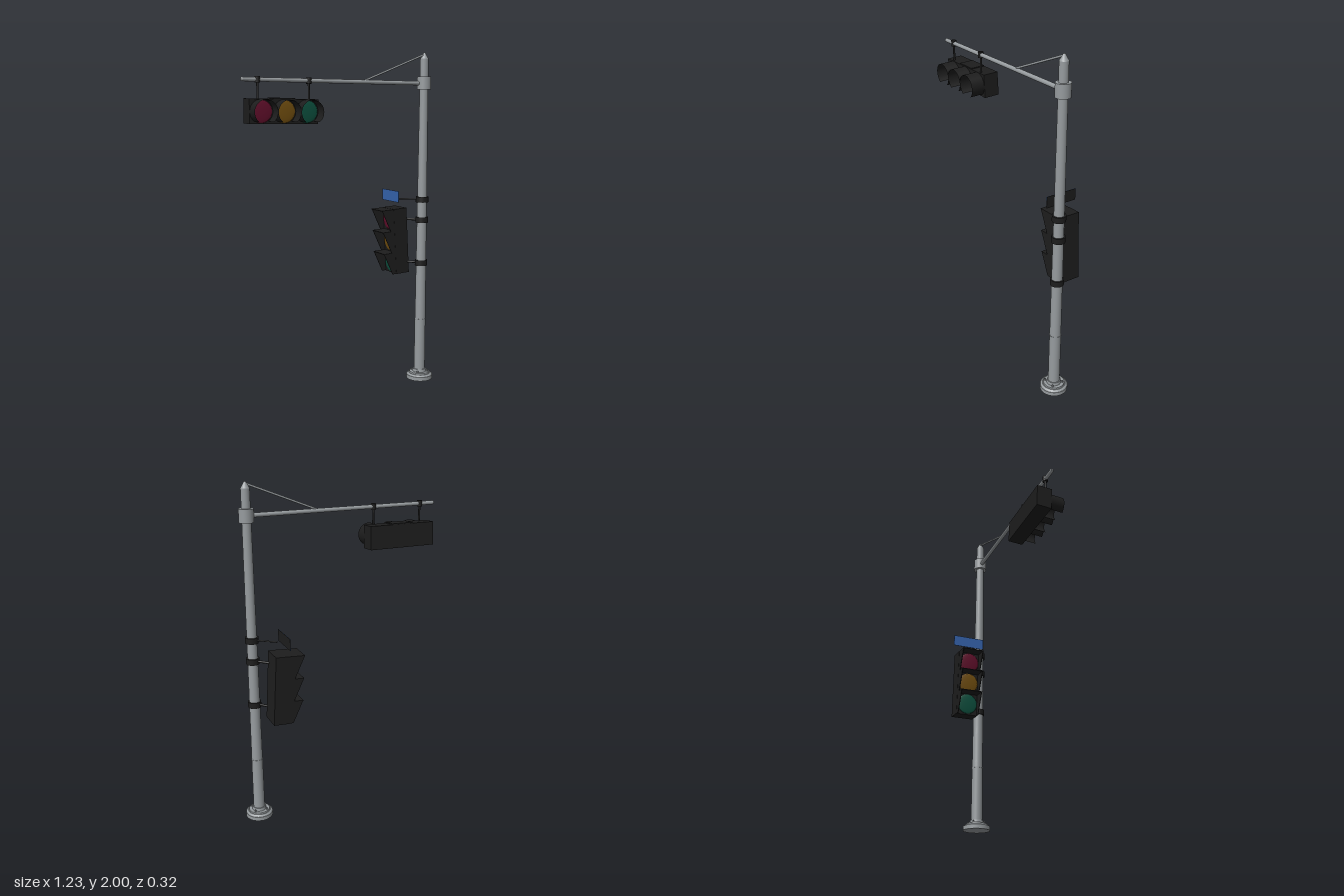
import * as THREE from 'three';
import { mergeGeometries } from 'three/addons/utils/BufferGeometryUtils.js';

const paint = (name, color, side = THREE.FrontSide) => {
  const m = new THREE.MeshStandardMaterial({ color, side });
  m.name = name;
  return m;
};

export function createModel() {
  const steel = paint('galvanised steel', 0x969b9e);
  const black = paint('black housing', 0x1d1d1d, THREE.DoubleSide);
  const blue = paint('sign blue', 0x3463ad);
  const lensPaints = [paint('red lens', 0x640f2c), paint('amber lens', 0x74500f), paint('green lens', 0x0d5240)];

  const model = new THREE.Group();
  model.name = 'trafficSignalPole';
  const PX = 0.531, PZ = 0.065, ARM_Y = 1.822;

  const add = (parent, name, geo, mat, x = 0, y = 0, z = 0) => {
    const mesh = new THREE.Mesh(geo, mat);
    mesh.name = name;
    mesh.position.set(x, y, z);
    parent.add(mesh);
    return mesh;
  };

  // Round bar between two points
  const rod = (name, a, b, ra, rb, mat) => {
    const p = new THREE.Vector3(...a), q = new THREE.Vector3(...b);
    const d = q.clone().sub(p);
    const mesh = add(model, name, new THREE.CylinderGeometry(rb, ra, d.length(), 16), mat);
    mesh.position.copy(p).add(q).multiplyScalar(0.5);
    mesh.quaternion.setFromUnitVectors(new THREE.Vector3(0, 1, 0), d.normalize());
  };

  // Stacked cylinders around the pole axis: name, y0, y1, lower radius, upper radius
  const stack = [
    ['baseFlange', 0, 0.024, 0.081, 0.081],
    ['baseChamfer', 0.024, 0.034, 0.079, 0.067],
    ['basePlate', 0.034, 0.042, 0.063, 0.061],
    ['baseSleeve', 0.042, 0.06, 0.042, 0.039],
    ['lowerPole', 0.06, 0.38, 0.034, 0.033],
    ['poleJoint', 0.377, 0.383, 0.0345, 0.0345],
    ['upperPole', 0.38, 1.965, 0.0325, 0.0245],
    ['armCollar', 1.786, 1.86, 0.041, 0.041],
    ['poleCap', 1.965, 2.0, 0.0245, 0.005],
  ];
  for (const [name, y0, y1, r0, r1] of stack) {
    add(model, name, new THREE.CylinderGeometry(r1, r0, y1 - y0, 32), steel, PX, (y0 + y1) / 2, PZ);
  }
  for (let i = 0; i < 4; i++) {
    const a = Math.PI / 4 + (i * Math.PI) / 2;
    add(model, 'baseBolt', new THREE.CylinderGeometry(0.005, 0.005, 0.014, 6), steel,
      PX + 0.05 * Math.cos(a), 0.047, PZ + 0.05 * Math.sin(a));
  }

  // Mast arm with its end cap and diagonal stay
  rod('mastArm', [PX, ARM_Y, PZ], [-0.605, ARM_Y, PZ], 0.0125, 0.0115, steel);
  rod('armEndCap', [-0.605, ARM_Y, PZ], [-0.614, ARM_Y, PZ], 0.0125, 0.007, steel);
  rod('armStay', [0.13, ARM_Y + 0.008, PZ], [PX, 1.99, PZ], 0.006, 0.006, steel);

  // Round hood, open along the bottom
  const roundHood = (r, len, gap) =>
    new THREE.CylinderGeometry(r, r, len, 32, 1, true, gap, Math.PI * 2 - gap * 2)
      .rotateX(Math.PI / 2).translate(0, 0, len / 2);

  // Square hood: a flat top and two side walls cut back towards the bottom
  const squareHood = (h, w, len, lowLen) => {
    const t = 0.004;
    const wall = new THREE.Shape([[0, h], [len, h], [lowLen, -h], [0, -h]].map((p) => new THREE.Vector2(...p)));
    const side = () => new THREE.ExtrudeGeometry(wall, { depth: t, bevelEnabled: false }).rotateY(-Math.PI / 2);
    const top = new THREE.BoxGeometry(w * 2, t, len).toNonIndexed().translate(0, h - t / 2, len / 2);
    return mergeGeometries([top, side().translate(w, 0, 0), side().translate(t - w, 0, 0)]);
  };

  // Signal head facing its own +z, three lights in a row or a column
  const signal = (name, upright, hood) => {
    const head = new THREE.Group();
    head.name = name;
    const long = 0.404, wide = 0.134, deep = 0.09, pitch = 0.134;
    add(head, 'housing', new THREE.BoxGeometry(upright ? wide : long, upright ? long : wide, deep), black);
    const lens = new THREE.SphereGeometry(0.062, 28, 6, 0, Math.PI * 2, 0, Math.PI / 2);
    lens.rotateX(Math.PI / 2).scale(1, 1, 0.1);
    lensPaints.forEach((mat, i) => {
      const x = upright ? 0 : (i - 1) * pitch, y = upright ? (1 - i) * pitch : 0;
      add(head, 'lens', lens, mat, x, y, deep / 2);
      add(head, 'hood', hood, black, x, y, deep / 2);
    });
    model.add(head);
    return head;
  };

  // Overhead signal, tipped down slightly
  const overhead = signal('overheadSignal', false, roundHood(0.066, 0.081, 0.66));
  overhead.position.set(-0.37, 1.655, 0.031);
  overhead.rotation.x = 0.05;
  add(overhead, 'topPlate', new THREE.BoxGeometry(0.13, 0.006, 0.085), black, 0, 0.069, 0);

  // Side signal, facing along the arm
  const sideSignal = signal('sideSignal', true, squareHood(0.067, 0.066, 0.08, 0.026));
  sideSignal.rotation.order = 'YXZ';
  sideSignal.rotation.set(0.06, -Math.PI / 2, 0);
  sideSignal.position.set(0.424, 0.869, -0.061);

  // Hangers for the overhead signal
  for (const x of [-0.52, -0.22]) {
    rod('hangerClamp', [x, ARM_Y - 0.017, PZ], [x, ARM_Y + 0.017, PZ], 0.015, 0.015, black);
    rod('hangerRod', [x, 1.715, PZ], [x, ARM_Y, PZ], 0.006, 0.006, black);
  }

  // Pole bands and brackets for the side signal and the sign
  const brackets = [[1.128, 0.415, -0.03, 0.004], [1.003, 0.44, -0.025, 0.007], [0.737, 0.45, -0.025, 0.007]];
  for (const [y, x, z, r] of brackets) {
    add(model, 'poleBand', new THREE.CylinderGeometry(0.038, 0.038, 0.034, 32), black, PX, y, PZ);
    rod('bracket', [PX - 0.02, y, PZ - 0.02], [x, y, z], r, r, black);
  }

  // Street sign, blue on its outer face
  add(model, 'signBack', new THREE.BoxGeometry(0.001, 0.068, 0.195), black, 0.3835, 1.146, -0.061);
  add(model, 'signFace', new THREE.BoxGeometry(0.001, 0.068, 0.195), blue, 0.3825, 1.146, -0.061);

  return model;
}
